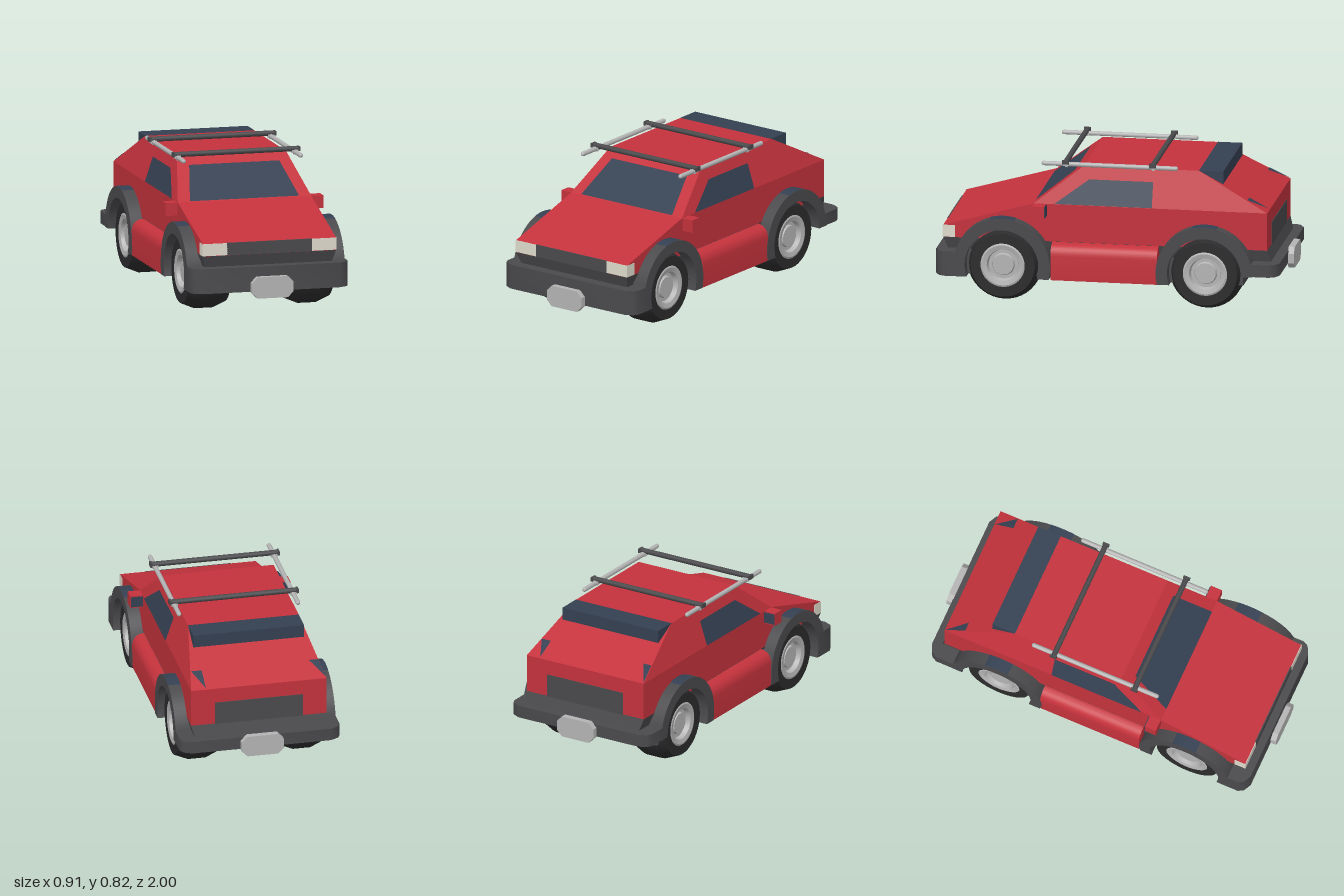
import * as THREE from 'three';
import { toCreasedNormals } from 'three/addons/utils/BufferGeometryUtils.js';
import { ConvexGeometry } from 'three/addons/geometries/ConvexGeometry.js';

const paint = (color, side = THREE.FrontSide) => new THREE.MeshStandardMaterial({ color, side });
const red = paint(0xc4323c);
const trim = paint(0x4a4a4d);
const rubber = paint(0x2b2b2d);
const glass = paint(0x344052, THREE.DoubleSide);
const lamp = paint(0xdedacc);
const grey = paint(0xb4b4b4);

export function createModel() {
  const car = new THREE.Group();
  car.name = 'car';

  const add = (name, geometry, material, x = 0, y = 0, z = 0) => {
    const mesh = new THREE.Mesh(geometry, material);
    mesh.name = name;
    mesh.position.set(x, y, z);
    car.add(mesh);
    return mesh;
  };
  const box = (name, mat, w, h, d, x, y, z) => add(name, new THREE.BoxGeometry(w, h, d), mat, x, y, z);

  // Convex block from a side profile of [z, y, halfWidth]
  const block = (name, mat, profile) => {
    const pts = profile.flatMap(([z, y, w]) => [new THREE.Vector3(w, y, z), new THREE.Vector3(-w, y, z)]);
    return add(name, new ConvexGeometry(pts), mat);
  };

  // Flat pane from an ordered corner list
  const pane = (name, mat, corners) => {
    const g = new THREE.BufferGeometry().setFromPoints(corners.map((c) => new THREE.Vector3(...c)));
    g.setIndex(corners.length === 3 ? [0, 1, 2] : [0, 1, 2, 0, 2, 3]);
    const flat = g.toNonIndexed();
    flat.computeVertexNormals();
    return add(name, flat, mat);
  };

  const extrude = (shape, depth) =>
    new THREE.ExtrudeGeometry(shape, { depth, bevelEnabled: false, curveSegments: 24 });
  const polygon = (points) => new THREE.Shape(points.map((p) => new THREE.Vector2(...p)));

  // Body shell
  block('lowerBody', red, [
    [0.93, 0.35, 0.385], [0.93, 0.42, 0.385], [0.42, 0.565, 0.385],
    [-0.895, 0.565, 0.385], [-0.895, 0.35, 0.385],
  ]);
  block('cabin', red, [
    [0.42, 0.565, 0.385], [0.15, 0.775, 0.315], [-0.5, 0.775, 0.315], [-0.895, 0.565, 0.385],
  ]);
  block('skirt', trim, [
    [0.93, 0.351, 0.386], [0.905, 0.28, 0.365], [-0.915, 0.28, 0.365], [-0.895, 0.351, 0.386],
  ]);
  box('underbody', trim, 0.77, 0.14, 1.62, 0, 0.215, 0.05);

  // Nose and tail panels
  box('grille', trim, 0.49, 0.07, 0.03, 0, 0.386, 0.918);
  box('rearPanel', trim, 0.5, 0.13, 0.02, 0, 0.415, -0.889);

  // Windscreen and rear roof visor
  pane('windscreen', glass, [
    [-0.315, 0.569, 0.42], [0.315, 0.569, 0.42], [0.26, 0.734, 0.209], [-0.26, 0.734, 0.209],
  ]);
  box('rearVisor', glass, 0.63, 0.072, 0.137, 0, 0.74, -0.567);

  // Small dark corner pieces on the sloping tail
  const tailY = (z) => 0.569 + (z + 0.895) * 0.5316;
  const tailCorner = (pts) => pane('tailCorner', glass, pts.map(([x, z]) => [x, tailY(z), z]));
  tailCorner([[-0.382, -0.89], [-0.31, -0.78], [-0.362, -0.78]]);
  tailCorner([[0.3, -0.89], [0.3, -0.78], [0.36, -0.78]]);

  // Bumpers: chamfered plan outline, front at +1 and rear at -1
  const bumper = (name, dir, inner, low) => {
    const half = [[0.455, inner], [0.455, 0.915], [0.44, 0.945], [0.395, 0.968]];
    const mirrored = half.map(([x, z]) => [-x, z]).reverse();
    const g = extrude(polygon([...half, ...mirrored]), 0.285 - low);
    g.rotateX(Math.PI / 2);
    if (dir < 0) g.rotateY(Math.PI);
    add(name, toCreasedNormals(g, 0.75), trim, 0, 0.285, 0);
  };
  bumper('frontBumper', 1, 0.8, 0.145);
  bumper('rearBumper', -1, 0.76, 0.215);

  // Eight-sided plates
  const plateShape = polygon([
    [-0.12, -0.027], [-0.087, -0.06], [0.087, -0.06], [0.12, -0.027],
    [0.12, 0.027], [0.087, 0.06], [-0.087, 0.06], [-0.12, 0.027],
  ]);
  add('frontPlate', extrude(plateShape, 0.035), grey, 0, 0.17, 0.965);
  add('rearPlate', extrude(plateShape, 0.035), grey, 0, 0.24, -1);

  // Wheel profiles as [radius, outward offset]
  const lathe = (points) =>
    toCreasedNormals(new THREE.LatheGeometry(points.map((p) => new THREE.Vector2(...p)), 40), 0.5);
  const tyre = lathe([
    [0, -0.122], [0.18, -0.122], [0.21, -0.05], [0.21, 0.05], [0.18, 0.122], [0.125, 0.122], [0.122, 0.1],
  ]);
  const rim = lathe([
    [0.127, 0.1], [0.125, 0.12], [0.115, 0.124], [0.09, 0.118], [0.083, 0.09], [0.064, 0.09], [0.058, 0.105], [0, 0.105],
  ]);

  // Wheel arch ring in the side plane; u runs along z
  const archGeometry = (startDrop, endDrop) => {
    const s = new THREE.Shape();
    const angle = (drop, r) => Math.asin(drop / r);
    s.absarc(0, 0, 0.273, -angle(startDrop, 0.273), Math.PI + angle(endDrop, 0.273), false);
    s.absarc(0, 0, 0.208, Math.PI + angle(endDrop, 0.208), -angle(startDrop, 0.208), true);
    const g = extrude(s, 0.105).rotateY(-Math.PI / 2);
    return toCreasedNormals(g.translate(0.0525, 0, 0), 0.5);
  };
  const archStrip = new THREE.CylinderGeometry(0.2745, 0.2745, 0.07, 6, 1, true, -0.26, 0.52);
  archStrip.rotateX(-Math.PI / 2).rotateY(Math.PI / 2);

  // Rocker cross-section, rounded at its upper edge
  const rockerShape = new THREE.Shape();
  rockerShape.moveTo(0.36, 0.145);
  rockerShape.lineTo(0.45, 0.145);
  rockerShape.lineTo(0.453, 0.28);
  rockerShape.quadraticCurveTo(0.45, 0.345, 0.385, 0.35);
  rockerShape.lineTo(0.36, 0.35);

  for (const side of [1, -1]) {
    // Wheels and arches
    for (const [end, z] of [['front', 0.59], ['rear', -0.55]]) {
      for (const [part, g, mat] of [['Tyre', tyre, rubber], ['Rim', rim, grey]]) {
        add(end + part, g, mat, side * 0.298, 0.21, z).rotation.z = -side * Math.PI / 2;
      }
      const arch = end === 'front' ? archGeometry(0.065, 0.065) : archGeometry(0.065, 0);
      add(end + 'Arch', arch, trim, side * 0.4025, 0.212, z);
      add(end + 'ArchStrip', archStrip, glass, side * 0.42, 0.212, z);
    }

    // Rocker panel
    const rocker = extrude(rockerShape, 0.6).translate(0, 0, -0.285);
    if (side < 0) rocker.rotateY(Math.PI).translate(0, 0, 0.03);
    add('rocker', toCreasedNormals(rocker, 0.6), red);

    // Side window lying on the sloping cabin wall
    const corners = [[0.305, 0.567], [0.115, 0.705], [-0.245, 0.705], [-0.245, 0.567]];
    pane('sideWindow', glass, corners.map(([z, y]) => [side * (0.388 - (y - 0.565) / 3), y, z]));

    // Headlight and door mirror
    box('headlight', lamp, 0.143, 0.068, 0.068, side * 0.3155, 0.386, 0.899);
    box('mirror', red, 0.08, 0.073, 0.066, side * 0.415, 0.528, 0.385);
    box('mirrorGlass', glass, 0.066, 0.06, 0.006, side * 0.418, 0.528, 0.35);

    // Roof rail with mounts
    const rail = new THREE.CapsuleGeometry(0.013, 0.745, 4, 12).rotateX(Math.PI / 2);
    add('roofRail', rail, grey, side * 0.338, 0.787, 0);
    for (const z of [0.245, -0.245]) {
      box('railClamp', grey, 0.035, 0.018, 0.03, side * 0.338, 0.789, z);
      box('clampBolt', grey, 0.014, 0.024, 0.014, side * 0.338, 0.782, z);
    }
  }

  // Roof crossbars
  for (const z of [0.245, -0.245]) {
    const bar = new THREE.CylinderGeometry(0.015, 0.015, 0.72, 12).rotateZ(Math.PI / 2);
    add('crossbar', bar, trim, 0, 0.803, z);
    for (const x of [-0.362, 0.362]) box('crossbarCap', trim, 0.012, 0.024, 0.038, x, 0.803, z);
  }

  return car;
}
